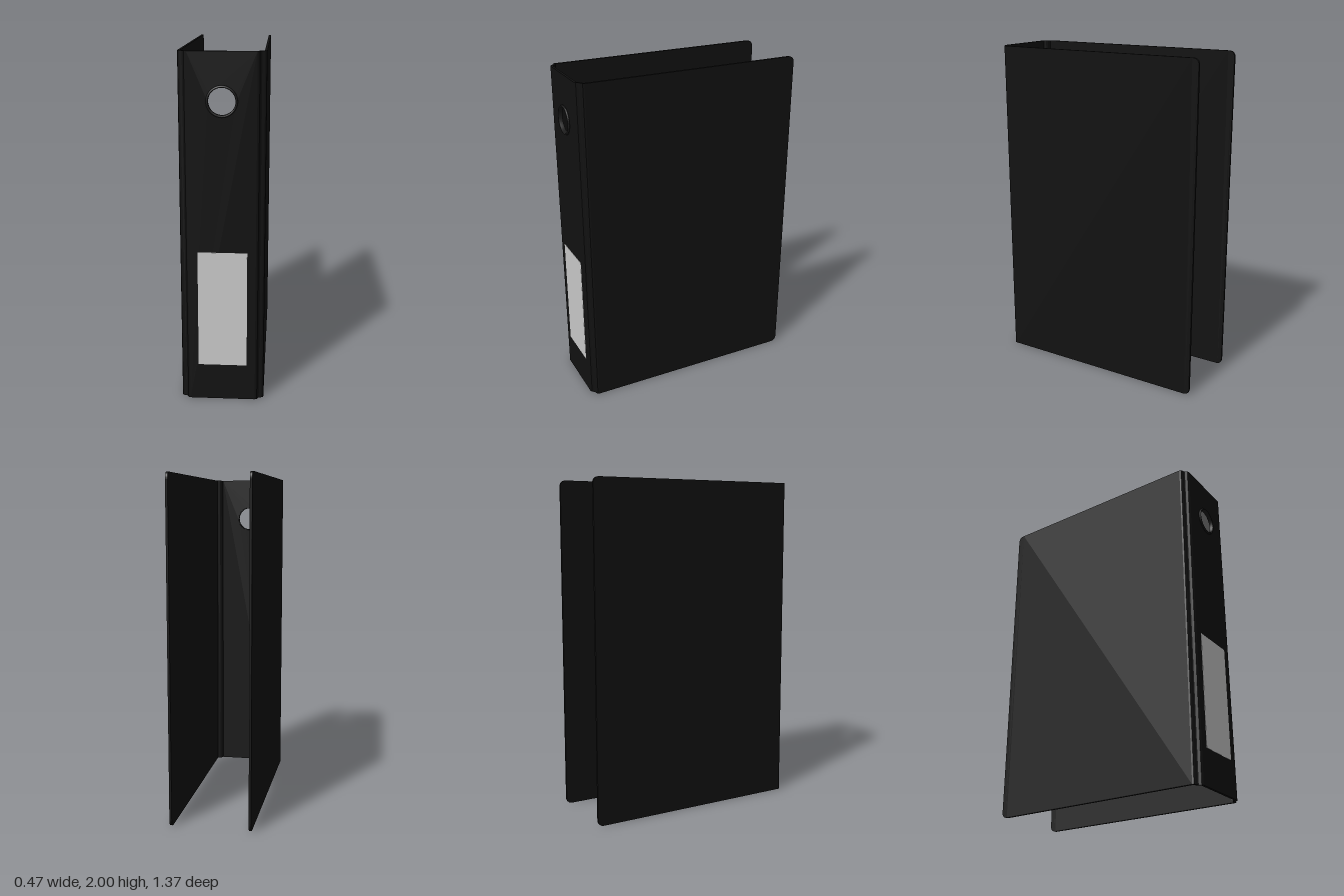
import * as THREE from 'three';

const T = 0.014; // board thickness
const H = 2;

export function createModel() {
  const group = new THREE.Group();
  group.name = 'ringBinder';
  const black = new THREE.MeshStandardMaterial({ color: 0x111111 });
  const dark = new THREE.MeshStandardMaterial({ color: 0x1c1c1c });
  const paper = new THREE.MeshStandardMaterial({ color: 0xcccccc });

  const add = (name, geometry, material) => {
    const mesh = new THREE.Mesh(geometry, material);
    mesh.name = name;
    group.add(mesh);
    return mesh;
  };
  const extrude = (shape, depth) =>
    new THREE.ExtrudeGeometry(shape, { depth, bevelEnabled: false, curveSegments: 24 });

  // Cover outline: shape x runs from front to back, back corners rounded
  const front = 0.633, back = -0.684, r = 0.04;
  const cover = new THREE.Shape();
  cover.moveTo(-front, 0);
  cover.lineTo(-back - r, 0);
  cover.quadraticCurveTo(-back, 0, -back, r);
  cover.lineTo(-back, H - r);
  cover.quadraticCurveTo(-back, H, -back - r, H);
  cover.lineTo(-front, H);
  cover.closePath();

  // Centre line of the folded hinge as [x, z], from cover to spine
  const fold = [[0.23, 0.633], [0.229, 0.638], [0.222, 0.642], [0.208, 0.645],
    [0.201, 0.651], [0.194, 0.664], [0.187, 0.667]].map(([x, z]) => new THREE.Vector2(x, z));

  // Cross-section made by offsetting the centre line to both sides
  const hingeShape = (side) => {
    const offset = (d) => fold.map((p, i) => {
      const a = fold[Math.max(i - 1, 0)], b = fold[Math.min(i + 1, fold.length - 1)];
      const t = b.clone().sub(a).normalize();
      if (i === 0) t.set(0, 1);
      if (i === fold.length - 1) t.set(-1, 0);
      return new THREE.Vector2(side * (p.x + t.y * d), -(p.y - t.x * d));
    });
    return new THREE.Shape([...offset(T / 2), ...offset(-T / 2).reverse()]);
  };

  for (const [side, label] of [[1, 'left'], [-1, 'right']]) {
    const coverGeo = extrude(cover, T);
    coverGeo.rotateY(Math.PI / 2);
    coverGeo.translate(side * 0.23 - T / 2, 0, 0);
    add(label + 'Cover', coverGeo, black);

    const hingeGeo = extrude(hingeShape(side), H);
    hingeGeo.rotateX(-Math.PI / 2);
    add(label + 'Hinge', hingeGeo, black);
  }

  // Spine board with the finger hole
  const holeY = 1.738;
  const spine = new THREE.Shape();
  spine.moveTo(-0.187, 0);
  spine.lineTo(0.187, 0);
  spine.lineTo(0.187, H);
  spine.lineTo(-0.187, H);
  spine.closePath();
  spine.holes.push(new THREE.Path().absarc(0, holeY, 0.076, 0, Math.PI * 2, true));
  const spineGeo = extrude(spine, T);
  spineGeo.translate(0, 0, 0.66);
  add('spine', spineGeo, black);

  // Rim lining the finger hole
  const rimProfile = [[0.073, 0.66], [0.078, 0.66], [0.078, 0.674], [0.085, 0.674],
    [0.085, 0.679], [0.081, 0.684], [0.076, 0.684], [0.073, 0.68], [0.073, 0.66]]
    .map(([x, z]) => new THREE.Vector2(x, z));
  const rimGeo = new THREE.LatheGeometry(rimProfile, 48);
  rimGeo.rotateX(Math.PI / 2);
  rimGeo.translate(0, holeY, 0);
  add('fingerHoleRim', rimGeo, dark);

  // Paper label on the spine
  const labelGeo = new THREE.BoxGeometry(0.277, 0.682, 0.002);
  labelGeo.translate(0.001, 0.557, 0.6745);
  add('spineLabel', labelGeo, paper);

  return group;
}
